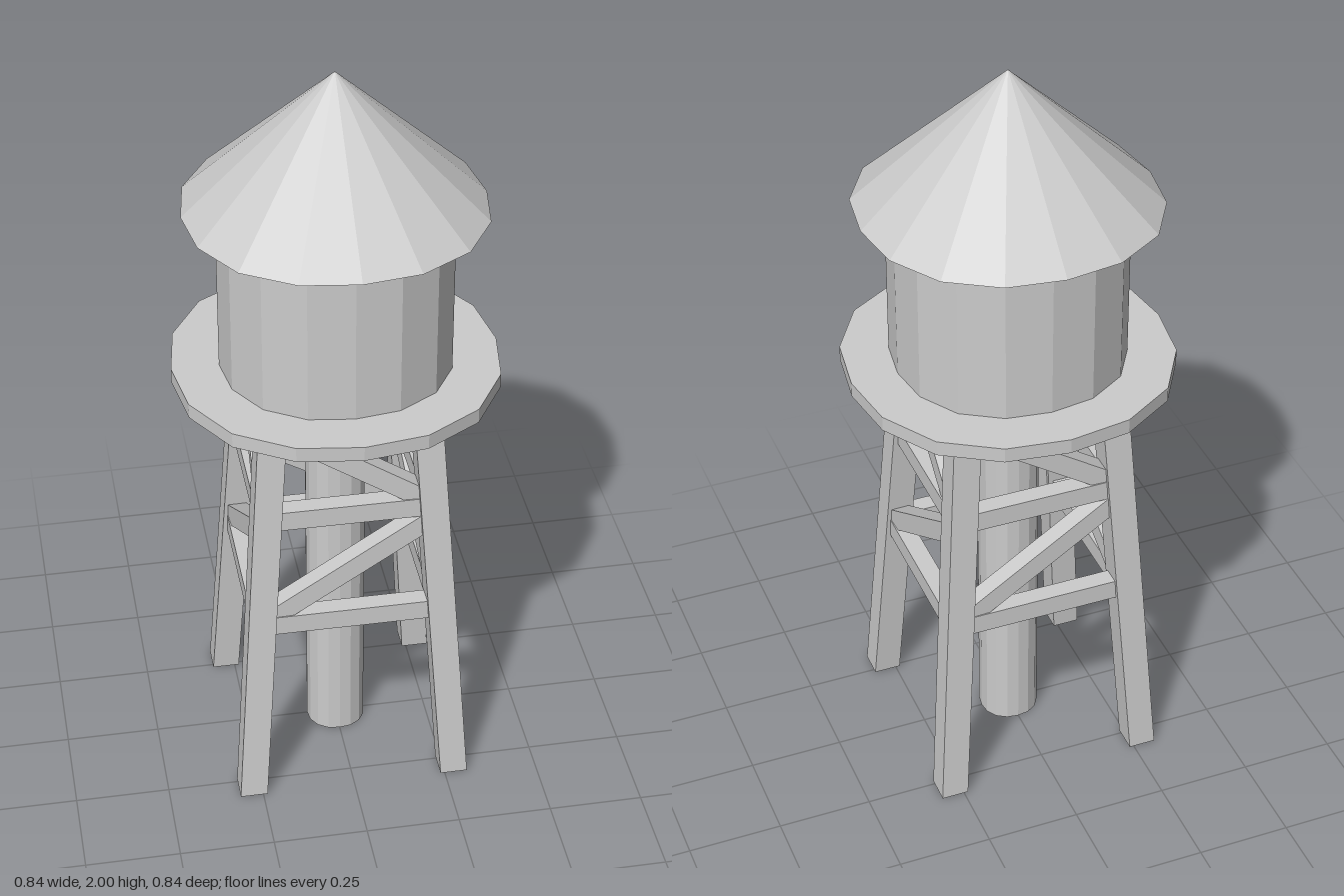
import * as THREE from 'three';

const material = new THREE.MeshStandardMaterial({ color: 0xcccccc, flatShading: true });
const DECK = 1.155; // underside of the platform
const legOffset = (y) => 0.275 - 0.0675 * y; // legs lean inwards as they rise

function part(name, geometry) {
  const mesh = new THREE.Mesh(geometry, material);
  mesh.name = name;
  return mesh;
}

// 16-sided drum or cone whose outline is slightly fuller on the diagonals
function drum(name, rTop, rBottom, y0, y1) {
  const g = new THREE.CylinderGeometry(rTop, rBottom, y1 - y0, 16);
  const p = g.attributes.position;
  const n = 2.23;
  for (let i = 0; i < p.count; i++) {
    const x = p.getX(i), z = p.getZ(i), r = Math.hypot(x, z);
    if (r < 1e-6) continue;
    const k = Math.pow(Math.abs(x / r) ** n + Math.abs(z / r) ** n, -1 / n);
    p.setX(i, x * k);
    p.setZ(i, z * k);
  }
  g.translate(0, (y0 + y1) / 2, 0);
  g.computeVertexNormals();
  return part(name, g);
}

// Square post sheared towards the centre line, with level ends
function leg() {
  const g = new THREE.BoxGeometry(0.073, DECK, 0.073).translate(0, DECK / 2, 0);
  const p = g.attributes.position;
  for (let i = 0; i < p.count; i++) {
    const o = legOffset(p.getY(i));
    p.setX(i, p.getX(i) + o);
    p.setZ(i, p.getZ(i) + o);
  }
  g.computeVertexNormals();
  return part('leg', g);
}

// Square bar on the front face of the tower, between (x0, y0) and (x1, y1)
function beam(name, x0, y0, x1, y1) {
  const a = new THREE.Vector3(x0, y0, legOffset(y0));
  const b = new THREE.Vector3(x1, y1, legOffset(y1));
  const mesh = part(name, new THREE.BoxGeometry(0.05, 0.055, a.distanceTo(b)));
  mesh.position.copy(a).add(b).multiplyScalar(0.5);
  mesh.lookAt(b);
  return mesh;
}

export function createModel() {
  const model = new THREE.Group();
  model.name = 'waterTower';

  model.add(
    drum('centralPipe', 0.079, 0.079, 0, DECK),
    drum('platform', 0.422, 0.422, DECK, 1.195),
    drum('tank', 0.299, 0.299, 1.195, 1.635),
    drum('roof', 0, 0.383, 1.635, 2)
  );

  // One leg and one braced face, repeated around the four sides
  for (let i = 0; i < 4; i++) {
    const side = new THREE.Group();
    side.name = 'towerSide';
    side.add(leg());
    for (const y of [0.538, 0.858]) {
      const o = legOffset(y);
      side.add(beam('crossBeam', -o, y, o, y));
    }
    side.add(
      beam('upperDiagonal', -0.185, 1.125, 0.205, 0.875),
      beam('lowerDiagonal', 0.205, 0.815, -0.215, 0.56)
    );
    side.rotation.y = (i * Math.PI) / 2;
    model.add(side);
  }
  return model;
}
